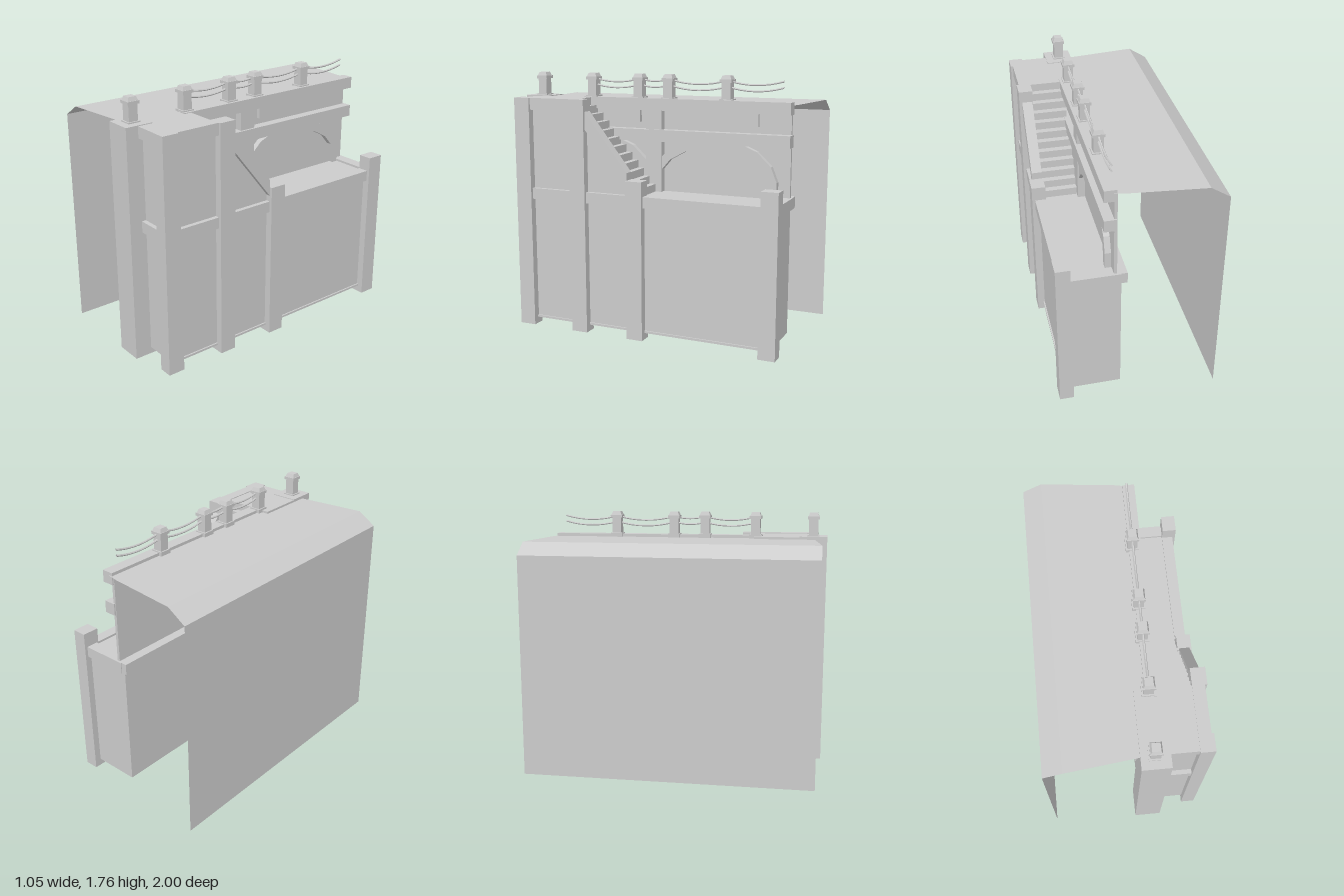
import * as THREE from 'three';

const mat = new THREE.MeshStandardMaterial({ color: 0xcccccc, flatShading: true, side: THREE.DoubleSide });

export function createModel() {
  const model = new THREE.Group();

  const add = (name, geometry) => {
    const mesh = new THREE.Mesh(geometry, mat);
    mesh.name = name;
    model.add(mesh);
    return mesh;
  };
  // box given by its limits on each axis
  const box = (name, [x0, x1], [y0, y1], [z0, z1]) => {
    const mesh = add(name, new THREE.BoxGeometry(x1 - x0, y1 - y0, z1 - z0));
    mesh.position.set((x0 + x1) / 2, (y0 + y1) / 2, (z0 + z1) / 2);
    return mesh;
  };
  // outline of [z, y] points extruded along x
  const slab = (name, points, x0, x1) => {
    const shape = new THREE.Shape(points.map(([z, y]) => new THREE.Vector2(-z, y)));
    const g = new THREE.ExtrudeGeometry(shape, { depth: x1 - x0, bevelEnabled: false });
    g.rotateY(Math.PI / 2);
    g.translate(x0, 0, 0);
    return add(name, g);
  };

  // roof sheet folding down into the outer side sheet
  const rows = [[-0.525, 0, -1, 0.97], [-0.525, 1.5, -1, 0.97], [-0.4, 1.58, -1, 0.97],
    [0.08, 1.58, -0.95, 0.915], [0.16, 1.58, -0.935, 0.905]];
  const verts = [], index = [];
  rows.forEach(([x, y, zb, zf], i) => {
    verts.push(x, y, zb, x, y, zf);
    if (i) {
      const a = 2 * i - 2;
      index.push(a, a + 1, a + 2, a + 1, a + 3, a + 2);
    }
  });
  const roof = new THREE.BufferGeometry();
  roof.setAttribute('position', new THREE.Float32BufferAttribute(verts, 3));
  roof.setIndex(index);
  roof.computeVertexNormals();
  add('roofAndSideSheet', roof);

  // front pillar with foot
  box('frontPillar', [0.07, 0.255], [0.02, 1.6], [0.81, 1]);
  box('pillarFoot', [0.115, 0.205], [0, 0.02], [0.86, 0.95]);

  // posts along the stair side
  for (const [z0, z1, top] of [[0.81, 0.925, 1.6], [0.39, 0.505, 1.6], [-0.03, 0.085, 1.08], [-0.955, -0.84, 1.08]])
    box('sidePost', [0.43, 0.525], [0, top], [z0, z1]);
  box('innerPost', [0.07, 0.14], [0, 1.54], [-0.03, 0.085]);
  box('innerBracket', [-0.01, 0.07], [1.44, 1.54], [-0.03, 0.085]);

  // wall panels of the lower body, open underneath
  slab('sidePanel', [[0.9, 0.05], [0.9, 1.58], [0.44, 1.58], [0.44, 1.46], [0.06, 0.99],
    [0, 0.96], [-0.9, 0.96], [-0.9, 0.05]], 0.455, 0.475);
  box('innerPanel', [0.105, 0.125], [0.05, 0.96], [-0.9, 0.9]);
  box('backPanel', [0.105, 0.475], [0.05, 0.96], [-0.91, -0.89]);
  box('frontPanel', [0.2, 0.45], [0.065, 1.58], [0.865, 0.885]);

  // floors
  box('upperFloor', [0.07, 0.475], [1.565, 1.595], [0.5, 0.9]);
  box('lowerFloor', [0.11, 0.46], [0.94, 0.965], [-0.9, 0]);

  // horizontal beams on the outside
  box('middleBeam', [0.43, 0.505], [0.905, 0.98], [-0.84, 0.81]);
  box('topBeam', [0.43, 0.51], [1.52, 1.6], [0.5, 0.81]);
  box('sillBeam', [0.45, 0.485], [0.045, 0.06], [-0.84, 0.81]);
  box('innerBeam', [0.07, 0.14], [0.905, 0.98], [-0.93, 0.81]);
  box('backBeam', [0.11, 0.43], [0.905, 0.98], [-0.935, -0.855]);
  box('frontMiddleBeam', [0.25, 0.43], [0.905, 0.98], [0.83, 0.915]);
  box('frontTopBeam', [0.25, 0.43], [1.52, 1.595], [0.83, 0.915]);

  // upper wall with its beams, uprights and boards
  box('upperWall', [0.135, 0.155], [0.96, 1.58], [-0.92, 0.5]);
  box('upperWallTopBeam', [0.14, 0.22], [1.52, 1.6], [-0.93, 0.55]);
  box('upperWallMiddleBeam', [0.14, 0.22], [1.31, 1.39], [-0.93, 0.5]);
  box('wallUpright', [0.15, 0.205], [0.96, 1.52], [-0.03, 0.085]);
  box('wallBoard', [0.15, 0.18], [1.435, 1.52], [-0.705, -0.095]);
  box('wallBoard', [0.15, 0.18], [1.435, 1.52], [0.14, 0.45]);

  // arch bands: half outline mirrored about the crown
  const outer = [[0.44, 0.97], [0.44, 1.08], [0.4, 1.18], [0.3, 1.275], [0.2, 1.315]];
  const inner = [[0, 1.275], [0.2, 1.25], [0.31, 1.19], [0.375, 1.115], [0.4, 0.97]];
  const flip = (pts) => pts.map(([z, y]) => [-z, y]).reverse();
  const arch = [...outer, ...flip(outer), ...flip(inner), ...inner.slice(1)];
  slab('arch', arch.map(([z, y]) => [z - 0.4, y]), 0.15, 0.195);
  const halfArch = [...flip(outer).reverse(), [0, 1.315], ...flip(inner).reverse()];
  slab('halfArch', halfArch.map(([z, y]) => [z + 0.49, y]), 0.15, 0.195);

  // stairs
  const steps = 12, zTop = 0.5, run = 0.53 / steps, rise = 0.63 / steps;
  const stair = [[zTop, 1.595]];
  for (let i = 0; i < steps; i++) {
    const z = zTop - i * run, y = 1.595 - (i + 1) * rise;
    stair.push([z, y], [z - run, y]);
  }
  stair.push([0.03, 0.95], [zTop, 1.48]);
  slab('stairs', stair, 0.2, 0.455);
  slab('stairStringer', [[0.39, 1.52], [0.39, 1.4], [0.085, 1.02], [0.085, 1.13]], 0.435, 0.505);

  // square bollards
  const bollardZ = [0.905, 0.505, 0.15, -0.07, -0.485];
  for (const z of bollardZ) {
    const square = (name, half, y0, y1) =>
      box(name, [0.16 - half, 0.16 + half], [y0, y1], [z - half, z + half]);
    square('bollardBase', 0.042, 1.58, 1.608);
    square('bollardShaft', 0.032, 1.6, 1.72);
    square('bollardCollar', 0.041, 1.715, 1.735);
    const cap = new THREE.CylinderGeometry(0.027 * Math.SQRT2, 0.037 * Math.SQRT2, 0.026, 4);
    cap.rotateY(Math.PI / 4);
    add('bollardCap', cap).position.set(0.16, 1.747, z);
  }

  // two sagging ropes between the bollards, running on past the last one
  const ropeZ = [...bollardZ.slice(1), -0.865];
  for (const y of [1.728, 1.688])
    for (let i = 1; i < ropeZ.length; i++) {
      const a = ropeZ[i - 1], b = ropeZ[i];
      const sag = 0.14 * Math.abs(a - b);
      const curve = new THREE.QuadraticBezierCurve3(
        new THREE.Vector3(0.16, y, a),
        new THREE.Vector3(0.16, y - sag, (a + b) / 2),
        new THREE.Vector3(0.16, y, b));
      add('rope', new THREE.TubeGeometry(curve, 8, 0.007, 6));
    }

  return model;
}
